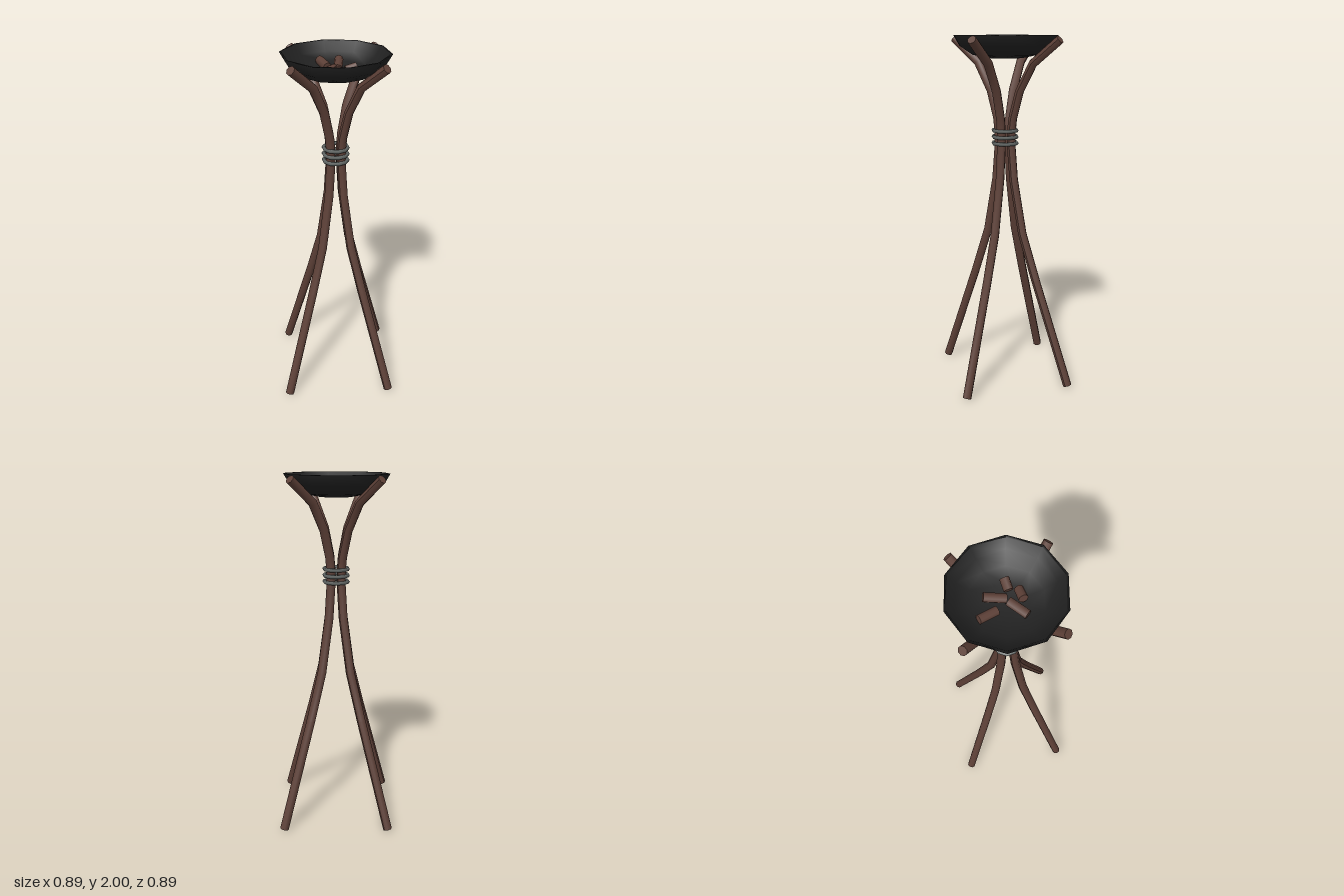
import * as THREE from 'three';

const wood = new THREE.MeshStandardMaterial({ color: 0x5d4037 });
wood.name = 'brown wood';
const iron = new THREE.MeshStandardMaterial({ color: 0x212121 });
iron.name = 'black iron';
const metal = new THREE.MeshStandardMaterial({ color: 0x616664 });
metal.name = 'grey metal';

function add(group, geometry, material, name) {
  const mesh = new THREE.Mesh(geometry, material);
  mesh.name = name;
  group.add(mesh);
  return mesh;
}

// Centre line of a leg, as distance from the axis and height
const LEG_PATH = [
  [0.423, 0.009], [0.205, 0.62], [0.115, 0.89], [0.057, 1.2], [0.04, 1.4],
  [0.042, 1.48], [0.05, 1.55], [0.092, 1.7], [0.175, 1.852], [0.334, 1.979],
].map(([x, y]) => new THREE.Vector2(x, y));

// Bends an eight-sided cylinder along the centre line, with mitred joints
function legGeometry(radius) {
  const n = LEG_PATH.length - 1;
  const geometry = new THREE.CylinderGeometry(radius, radius, 1, 8, n);
  const pos = geometry.attributes.position;
  const direction = (i) => LEG_PATH[i + 1].clone().sub(LEG_PATH[i]).normalize();
  for (let v = 0; v < pos.count; v++) {
    const i = Math.round((pos.getY(v) + 0.5) * n);
    const t = direction(Math.max(i - 1, 0)).add(direction(Math.min(i, n - 1))).normalize();
    const offset = pos.getX(v);
    pos.setXY(v, LEG_PATH[i].x + t.y * offset, LEG_PATH[i].y - t.x * offset);
  }
  geometry.computeVertexNormals();
  return geometry;
}

export function createModel() {
  const model = new THREE.Group();
  model.name = 'brazier';

  // Four bent legs that also hold the bowl
  const leg = legGeometry(0.025);
  for (let i = 0; i < 4; i++) {
    add(model, leg, wood, 'leg').rotation.y = i * Math.PI / 2;
  }

  // Three rings binding the legs
  const ring = new THREE.TorusGeometry(0.067, 0.011, 6, 10);
  ring.rotateX(Math.PI / 2).rotateY(Math.PI / 2);
  for (const y of [1.408, 1.444, 1.48]) {
    add(model, ring, metal, 'bindingRing').position.y = y;
  }

  // Ten-sided bowl, outside up to the rim and back down inside
  const profile = [
    [0, 1.877], [0.1, 1.878], [0.19, 1.897], [0.26, 1.942], [0.295, 2],
    [0.281, 2], [0.247, 1.948], [0.185, 1.91], [0.1, 1.892], [0, 1.89],
  ].map(([x, y]) => new THREE.Vector2(x, y));
  add(model, new THREE.LatheGeometry(profile, 10), iron, 'bowl');

  // Logs in the bowl: x, y, z, length, turn about y, upward tilt
  const logs = new THREE.Group();
  logs.name = 'logs';
  model.add(logs);
  for (const [x, y, z, length, turn, tilt] of [
    [-0.065, 1.918, 0, 0.11, 0, 0.08],
    [0.027, 1.92, -0.11, 0.1, 1.18, 0.15],
    [0.05, 1.928, -0.025, 0.11, 0.66, 0.2],
    [0.048, 1.922, 0.065, 0.06, -0.6, 0.25],
    [-0.035, 1.922, 0.065, 0.065, -0.6, -0.25],
  ]) {
    const geometry = new THREE.CylinderGeometry(0.024, 0.024, length, 8);
    geometry.rotateZ(-Math.PI / 2);
    const log = add(logs, geometry, wood, 'log');
    log.position.set(x, y, z);
    log.rotation.set(0, turn, tilt);
  }

  return model;
}
